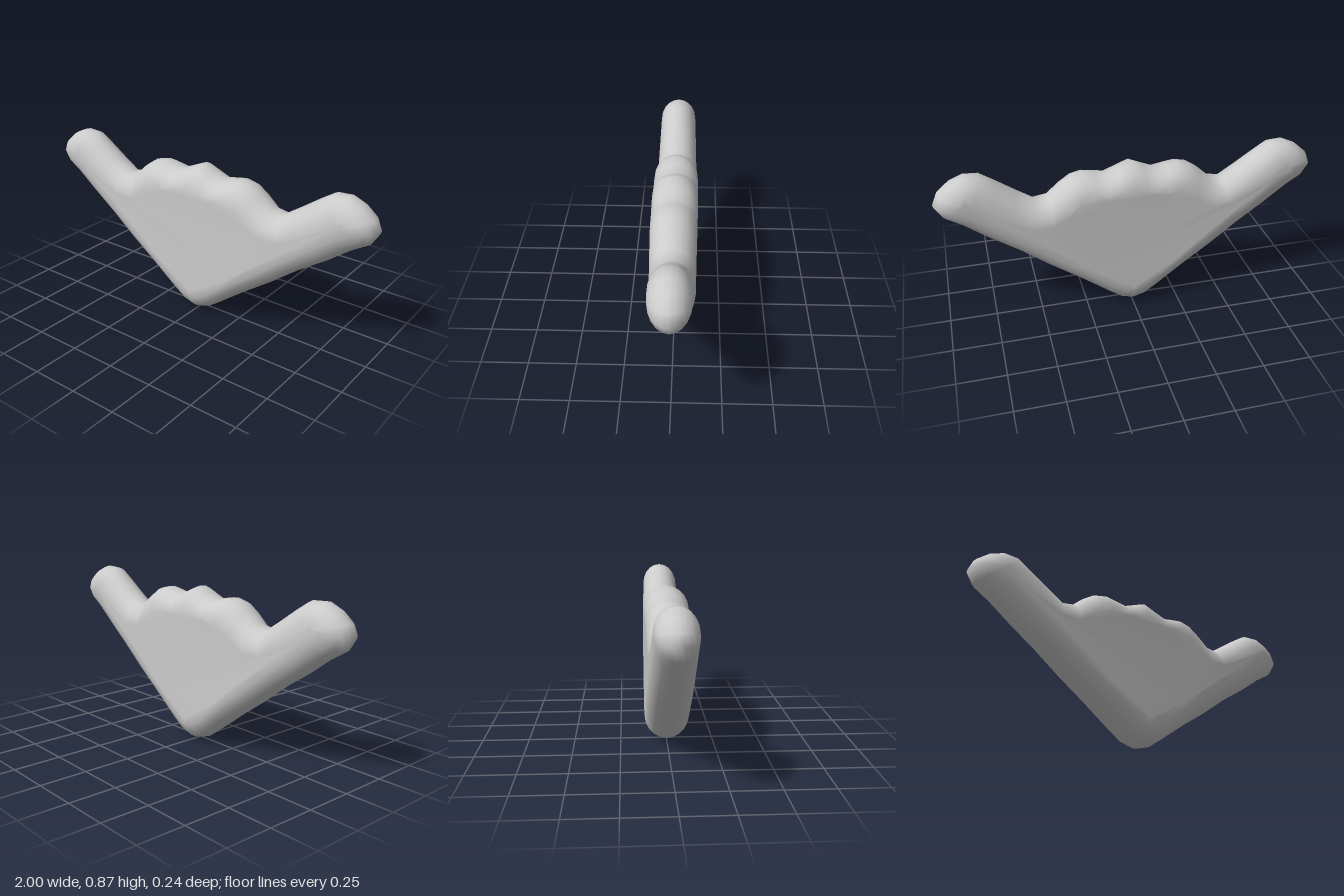
import * as THREE from 'three';

// Right half of the outline, bottom tip to top centre:
// outer edge x, y, then the matching point of the flat face x, y
const HALF = [
  [0, 0, 0, 0.13], [0.07, 0.02, 0.04, 0.14], [0.14, 0.07, 0.09, 0.17],
  [0.3, 0.19, 0.23, 0.275], [0.45, 0.295, 0.385, 0.39], [0.6, 0.41, 0.53, 0.5],
  [0.75, 0.51, 0.67, 0.61], [0.87, 0.6, 0.8, 0.7], [0.96, 0.655, 0.85, 0.725],
  [1, 0.72, 0.867, 0.738], [0.975, 0.78, 0.862, 0.747], [0.91, 0.835, 0.847, 0.752],
  [0.84, 0.865, 0.825, 0.753], [0.76, 0.86, 0.8, 0.745], [0.69, 0.815, 0.74, 0.7],
  [0.59, 0.745, 0.645, 0.64], [0.5, 0.685, 0.53, 0.57], [0.43, 0.7, 0.42, 0.57],
  [0.37, 0.755, 0.33, 0.64], [0.31, 0.795, 0.28, 0.675], [0.25, 0.808, 0.23, 0.69],
  [0.19, 0.797, 0.18, 0.69], [0.13, 0.785, 0.12, 0.685], [0.07, 0.81, 0.06, 0.7],
  [0, 0.84, 0, 0.715],
];
const LAYERS = 10;

function bodyGeometry() {
  // Full counter-clockwise outline by mirroring the half
  const left = HALF.slice(1, -1).reverse().map(([ox, oy, ix, iy]) => [-ox, oy, -ix, iy]);
  const outline = [...HALF, ...left];
  const n = outline.length;
  const positions = [];
  const indices = [];

  // Rounded rim: rings from the back face, out to the edge, in to the front face
  for (let l = 0; l <= LAYERS; l++) {
    const a = (l / LAYERS - 0.5) * Math.PI;
    const k = 1 - Math.cos(a);
    for (const [ox, oy, ix, iy] of outline) {
      const x = THREE.MathUtils.lerp(ox, ix, k);
      const y = THREE.MathUtils.lerp(oy, iy, k);
      const depth = 0.119 - 0.028 * x * x; // thinner towards the arm ends
      positions.push(x, y, depth * Math.sin(a));
    }
  }
  for (let l = 0; l < LAYERS; l++) {
    for (let i = 0; i < n; i++) {
      const j = (i + 1) % n;
      const a = l * n + i, b = l * n + j;
      indices.push(a, b, b + n, a, b + n, a + n);
    }
  }

  // Front and back faces
  const inner = outline.map((p) => new THREE.Vector2(p[2], p[3]));
  const front = LAYERS * n;
  for (const [a, b, c] of THREE.ShapeUtils.triangulateShape(inner, [])) {
    indices.push(front + a, front + b, front + c, a, c, b);
  }

  const geometry = new THREE.BufferGeometry();
  geometry.setAttribute('position', new THREE.Float32BufferAttribute(positions, 3));
  geometry.setIndex(indices);
  geometry.computeVertexNormals();
  return geometry;
}

export function createModel() {
  const group = new THREE.Group();
  group.name = 'wingedPlaque';
  const body = new THREE.Mesh(bodyGeometry(), new THREE.MeshStandardMaterial({ color: 0xcccccc }));
  body.name = 'body';
  group.add(body);
  return group;
}
